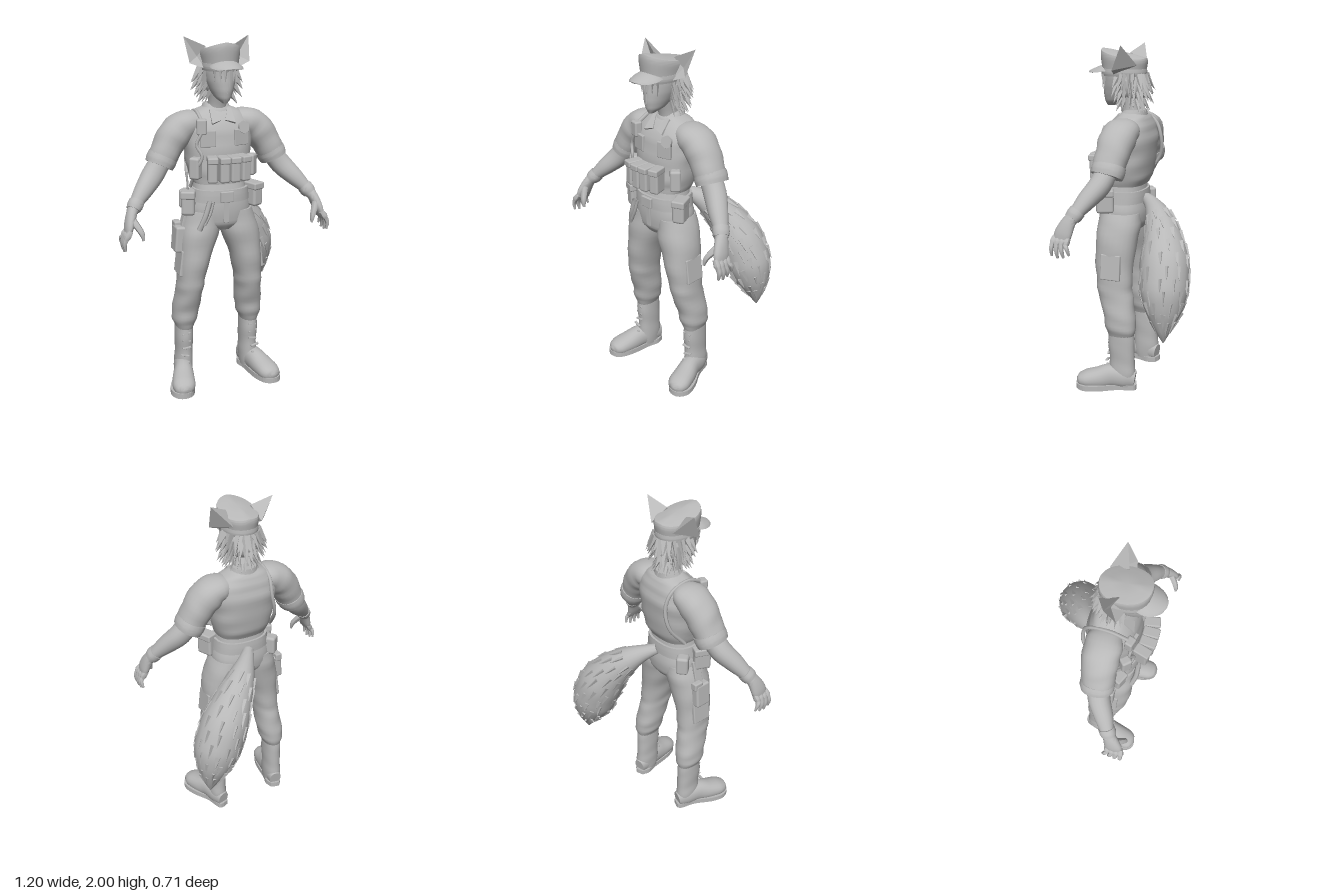
import * as THREE from 'three';
import { mergeGeometries, toCreasedNormals } from 'three/addons/utils/BufferGeometryUtils.js';
import { RoundedBoxGeometry } from 'three/addons/geometries/RoundedBoxGeometry.js';

const V3 = (x, y, z) => new THREE.Vector3(x, y, z);

// Smooth section [x, y, z, ru, rv] and its frame at t along a list of sections
function sampler(rings, ref, level) {
  const path = new THREE.CatmullRomCurve3(rings.map(r => V3(r[0], r[1], r[2])));
  const size = new THREE.CatmullRomCurve3(rings.map(r => V3(r[3], r[4], 0)));
  return t => {
    const c = path.getPoint(t), s = size.getPoint(t), T = path.getTangent(t);
    if (level) T.set(0, Math.sign(T.y), 0);
    const v = ref.clone().addScaledVector(T, -ref.dot(T)).normalize();
    return { c, T, v, u: v.clone().cross(T), a: s.x, b: s.y };
  };
}

// Closed skin through the sections; fold adds cloth wrinkles, p squares the section
function loft(rings, { n = 20, ref = V3(0, 0, 1), level = false, p = 2.2, fold = 0, sub = 4, bend } = {}) {
  const at = sampler(rings, ref, level), rows = (rings.length - 1) * sub;
  const pos = [], idx = [];
  const sq = w => Math.sign(w) * Math.pow(Math.abs(w), 2 / p);
  const put = q => { if (bend) bend(q); q.y = Math.max(q.y, 0); pos.push(q.x, q.y, q.z); };
  for (let i = 0; i <= rows; i++) {
    const { c, u, v, a, b } = at(i / rows);
    for (let j = 0; j < n; j++) {
      const w = j / n * Math.PI * 2;
      const k = 1 + fold * Math.sin(i * 1.35 + 2 * Math.sin(w)) * (0.6 + 0.4 * Math.sin(3 * w + i * 0.4));
      put(c.clone().addScaledVector(u, sq(Math.cos(w)) * a * k).addScaledVector(v, sq(Math.sin(w)) * b * k));
      if (i < rows) {
        const A = i * n + j, B = i * n + (j + 1) % n;
        idx.push(A, B, B + n, A, B + n, A + n);
      }
    }
  }
  put(at(0).c); put(at(1).c);
  const c0 = (rows + 1) * n, c1 = c0 + 1, e = rows * n;
  for (let j = 0; j < n; j++) {
    const k = (j + 1) % n;
    idx.push(c0, k, j, c1, e + j, e + k);
  }
  const g = new THREE.BufferGeometry();
  g.setAttribute('position', new THREE.Float32BufferAttribute(pos, 3));
  g.setIndex(idx);
  return toCreasedNormals(g, 0.8);
}

// Flattened pointed lock standing on a surface
function spike(base, dir, len, r, flat = 1) {
  const g = new THREE.ConeGeometry(r, len, 4).toNonIndexed();
  g.computeVertexNormals();
  g.translate(0, len / 2, 0).scale(1, 1, flat);
  g.applyQuaternion(new THREE.Quaternion().setFromUnitVectors(V3(0, 1, 0), dir.clone().normalize()));
  return g.translate(base.x, base.y, base.z);
}

export function createModel() {
  const model = new THREE.Group();
  const grey = new THREE.MeshStandardMaterial({ color: 0xb8b8b8, side: THREE.DoubleSide });
  grey.name = 'plain grey';
  let seed = 7;
  const rnd = () => (seed = (seed * 16807) % 2147483647) / 2147483647;
  const add = (name, g) => {
    const m = new THREE.Mesh(g, grey);
    m.name = name; model.add(m);
    return m;
  };
  const box = (name, x, y, z, w, h, d, ry = 0, rz = 0) => {
    const m = add(name, new RoundedBoxGeometry(w, h, d, 2, Math.min(w, h, d) * 0.22));
    m.position.set(x, y, z); m.rotation.set(0, ry, rz);
  };
  const tube = (name, pts, r) =>
    add(name, new THREE.TubeGeometry(new THREE.CatmullRomCurve3(pts.map(p => V3(...p))), 20, r, 6));
  const L = { level: true };

  // Shirt and hips
  add('shirt', loft([[0, 1.215, .125, .15, .118], [0, 1.28, .115, .172, .135], [0, 1.38, .105, .185, .138],
    [0, 1.48, .095, .195, .136], [0, 1.55, .09, .185, .115], [0, 1.6, .08, .13, .085], [0, 1.625, .08, .07, .06]],
    { ...L, n: 32, p: 2.5, fold: .02 }));
  add('hips', loft([[0, 1.23, .13, .14, .108], [0, 1.15, .135, .155, .122], [0, 1.06, .13, .178, .132],
    [0, .99, .13, .165, .125], [0, .95, .13, .08, .1]], { ...L, n: 28, p: 2.4 }));
  add('belt', loft([[0, 1.185, .135, .162, .13], [0, 1.15, .135, .166, .133], [0, 1.115, .135, .17, .133]],
    { ...L, n: 28, p: 2.4 }));
  box('beltBuckle', 0, 1.15, .27, .075, .06, .02);
  box('fly', 0, 1.06, .258, .03, .12, .012);

  // Neck, collar and head
  add('neck', loft([[0, 1.57, .085, .06, .06], [0, 1.64, .1, .05, .055], [0, 1.72, .12, .055, .06]], L));
  add('collar', loft([[0, 1.585, .085, .09, .085], [0, 1.615, .08, .08, .075], [0, 1.64, .07, .068, .062]], L));
  add('head', loft([[0, 1.657, .222, .012, .02], [0, 1.685, .19, .042, .065], [0, 1.725, .165, .062, .096],
    [0, 1.775, .147, .08, .112], [0, 1.83, .14, .088, .115], [0, 1.9, .14, .085, .115]], { ...L, p: 2, n: 24 }));
  add('nose', spike(V3(0, 1.765, .245), V3(0, -1, .33), .06, .016));

  // Cap with sloping crown and drooping visor
  add('capCrown', loft([[0, 1.83, .138, .094, .124], [0, 1.87, .138, .097, .128], [0, 1.925, .138, .103, .134],
    [0, 1.947, .138, .1, .13], [0, 1.952, .138, .055, .07]], { ...L, n: 28,
    bend: q => { q.y += (q.y - 1.83) / .12 * ((q.z - .14) * .2 - Math.abs(q.x) * .16 + .004); } }));
  add('capBand', loft([[0, 1.826, .138, .096, .126], [0, 1.845, .138, .1, .131], [0, 1.866, .138, .098, .129]], { ...L, n: 28 }));
  add('capVisor', loft([[0, 1.882, .2, .08, .008], [0, 1.878, .255, .088, .008], [0, 1.862, .305, .072, .007],
    [0, 1.85, .335, .045, .006], [0, 1.846, .348, .012, .004]], { ref: V3(0, 1, 0), bend: q => { q.y -= 4 * q.x * q.x; } }));

  // Hair: rounded mass with pointed locks
  const hair = new THREE.SphereGeometry(1, 20, 14);
  hair.scale(.098, .1, .095).translate(0, 1.775, .092);
  add('hairMass', hair);
  const locks = [];
  for (let row = 0; row < 4; row++) for (let i = 0; i < 17; i++) {
    const a = (i / 16 - .5) * 4.1 + (rnd() - .5) * .15, sx = Math.sin(a), sz = -Math.cos(a);
    const r = [.088, .088, .078, .056][row];
    locks.push(spike(V3(sx * r, 1.835 - row * .038, .1 + sz * r), V3(sx * .55, -.8, sz * .45), .08 + rnd() * .03, .024, .6));
  }
  for (const x of [-.06, -.035, -.012, .014, .038, .06])
    locks.push(spike(V3(x, 1.84, .262 - x * x * 9), V3(-x * .4, -1, .05), .07 + rnd() * .035, .016, .5));
  add('hairLocks', mergeGeometries(locks));

  for (const s of [1, -1]) {
    const side = s > 0 ? 'left' : 'right';
    const R = rows => rows.map(([x, ...r]) => [x * s, ...r]);

    // Hollow pointed ear
    const rim = [[.185, 2, .085], [.075, 1.95, .13], [.09, 1.835, .165], [.17, 1.865, .145]];
    const ear = [];
    rim.forEach((p, i) => {
      const q = rim[(i + 1) % 4], [a, b] = s > 0 ? [p, q] : [q, p];
      ear.push([.115, 1.895, .1], a, b, [.085, 1.89, .03], b, a);
    });
    const eg = new THREE.BufferGeometry();
    eg.setAttribute('position', new THREE.Float32BufferAttribute(ear.flatMap(p => [p[0] * s, p[1], p[2]]), 3));
    eg.computeVertexNormals();
    add(side + 'Ear', eg);

    // Collar point
    const lapel = new THREE.Shape([[.0, 0], [.055, -.02], [.05, .075], [.03, .08]].map(p => new THREE.Vector2(p[0] * s, p[1])));
    const lm = add(side + 'CollarPoint', new THREE.ExtrudeGeometry(lapel, { depth: .012, bevelEnabled: false }));
    lm.position.set(.012 * s, 1.555, .195); lm.rotation.x = -.75;

    // Arm
    add(side + 'Sleeve', loft(R([[.1, 1.54, .085, .055, .08], [.17, 1.535, .088, .075, .1], [.235, 1.49, .092, .088, .1],
      [.285, 1.42, .1, .083, .093], [.33, 1.335, .108, .074, .088]]), { fold: .035, n: 24 }));
    add(side + 'SleeveCuff', loft(R([[.312, 1.37, .104, .08, .092], [.325, 1.345, .106, .082, .094], [.338, 1.318, .11, .077, .09]])));
    add(side + 'Forearm', loft(R([[.31, 1.37, .108, .055, .06], [.375, 1.28, .13, .06, .06], [.445, 1.205, .18, .05, .052],
      [.495, 1.15, .215, .036, .04], [.525, 1.11, .24, .03, .036]])));
    add(side + 'GloveCuff', loft(R([[.492, 1.155, .212, .041, .045], [.505, 1.137, .224, .042, .046], [.518, 1.118, .235, .036, .042]])));
    add(side + 'Palm', loft(R([[.52, 1.125, .235, .028, .034], [.537, 1.085, .255, .027, .043], [.552, 1.04, .272, .024, .05],
      [.562, 1.005, .282, .017, .046]])));
    for (let f = 0; f < 4; f++) {
      const z = .318 - f * .026, d = [.01, 0, .004, .02][f];
      add(side + 'Finger', loft(R([[.553, 1.025, z, .014, .014], [.58, .985, z + .006, .014, .014],
        [.59, .95 + d, z + .008 - f * .004, .012, .012], [.586, .912 + d, z + .008 - f * .008, .006, .007]]), { n: 8, sub: 3 }));
    }
    add(side + 'Thumb', loft(R([[.54, 1.085, .272, .02, .02], [.515, 1.045, .305, .018, .018], [.496, 1.01, .325, .015, .015],
      [.488, .972, .332, .007, .007]]), { n: 8, sub: 3 }));

    // Leg and boot
    add(side + 'TrouserLeg', loft(R([[.09, 1.06, .13, .09, .122], [.115, .95, .137, .11, .125], [.15, .8, .146, .092, .115],
      [.172, .66, .142, .078, .106], [.18, .58, .132, .074, .104], [.192, .47, .105, .076, .095],
      [.2, .39, .095, .071, .092], [.202, .335, .09, .05, .076]]), { ...L, n: 24, fold: .035 }));
    box(side + 'ThighPocket', .232 * s, .76, .14, .03, .15, .12, 0, .12 * s);
    add(side + 'BootShaft', loft(R([[.203, .37, .09, .05, .074], [.203, .28, .09, .052, .08], [.203, .18, .085, .049, .076],
      [.205, .1, .085, .052, .08], [.205, .02, .085, .045, .07]]), { ...L, fold: .02 }));
    add(side + 'BootFoot', loft(R([[.195, .06, .008, .036, .05], [.208, .07, .07, .052, .068], [.225, .075, .15, .055, .07],
      [.246, .06, .22, .064, .062], [.264, .05, .29, .066, .05], [.274, .043, .33, .048, .036], [.277, .04, .347, .015, .015]]),
      { ref: V3(0, 1, 0) }));
    const outline = [[.165, .01], [.225, .0], [.258, .1], [.315, .2], [.338, .28], [.315, .335], [.27, .352], [.22, .33],
      [.186, .25], [.168, .12], [.152, .06]].map(p => new THREE.Vector2(p[0] * s, p[1]));
    const sole = new THREE.Shape(new THREE.SplineCurve([...outline, outline[0]]).getPoints(40));
    const sg = new THREE.ExtrudeGeometry(sole, { depth: .032, bevelEnabled: false });
    add(side + 'Sole', sg.rotateX(Math.PI / 2).translate(0, .032, 0));
    for (let i = 0; i < 5; i++) box(side + 'BootLace', (.206 + (i < 2 ? .014 : 0)) * s, .13 + i * .045, .178 - Math.min(i, 3) * .006, .05, .01, .015, .15 * s, .2 * (i % 2 ? s : -s));

    // Chest pouches and pocket
    for (const [x, z, ry] of [[.029, .288, .05], [.088, .275, .25]]) {
      box(side + 'MagazinePouch', x * s, 1.31, z, .054, .135, .085, ry * s);
      box(side + 'PouchFlap', x * s, 1.365, z + .004, .058, .035, .092, ry * s);
    }
    box(side + 'SidePouch', .152 * s, 1.31, .2, .06, .12, .08, .8 * s);
    box(side + 'ChestPocket', .095 * s, 1.47, .224, .085, .09, .02, .22 * s);
  }

  // Belt kit, holster and radio
  box('leftBeltPouch', .182, 1.135, .19, .07, .13, .1, .4);
  box('leftBeltPouchFlap', .184, 1.185, .193, .076, .04, .106, .4);
  box('rightBeltPouch', -.19, 1.11, .17, .075, .13, .1, -.4);
  box('rightBeltPouchFlap', -.191, 1.16, .172, .08, .045, .106, -.4);
  box('rearBeltPouch', -.165, 1.1, .05, .07, .11, .07, .7);
  box('holster', -.238, .895, .13, .06, .15, .1, 0, -.08);
  box('holsterGrip', -.24, .965, .1, .04, .05, .06);
  box('holsterStrap', -.205, 1.02, .13, .018, .16, .05, 0, -.25);
  tube('batonHandle', [[-.1, 1.13, .27], [-.125, 1.05, .27], [-.155, .97, .255]], .015);
  tube('hangingStrap', [[-.08, 1.13, .27], [-.1, 1.06, .272], [-.13, 1.0, .268]], .009);
  tube('antenna', [[-.19, 1.17, .16], [-.195, 1.23, .165], [-.2, 1.28, .165]], .006);
  box('radioMicrophone', -.128, 1.535, .215, .055, .085, .045, -.25);
  tube('radioCable', [[-.135, 1.5, .23], [-.16, 1.44, .225], [-.135, 1.38, .245], [-.165, 1.3, .225], [-.18, 1.2, .17]], .009);
  tube('shoulderCord', [[-.125, 1.57, .2], [-.125, 1.605, .11], [-.12, 1.57, .0], [-.115, 1.48, -.04], [-.14, 1.36, -.03], [-.165, 1.24, .06]], .011);
  const badge = add('badge', new THREE.CylinderGeometry(.036, .036, .014, 6));
  badge.position.set(.11, 1.52, .222); badge.rotation.set(Math.PI / 2 - .2, 0, -.2);

  // Bushy tail with layered tufts
  const tail = [[.01, 1.135, .005, .03, .03], [.06, 1.105, -.055, .048, .048], [.125, 1.05, -.115, .078, .078],
    [.21, .95, -.17, .112, .112], [.285, .83, -.205, .137, .137], [.335, .71, -.22, .138, .134],
    [.372, .59, -.23, .1, .098], [.392, .5, -.236, .05, .048], [.402, .428, -.24, .004, .004]];
  add('tail', loft(tail, { n: 20, p: 2 }));
  const at = sampler(tail, V3(0, 0, 1), false), tufts = [];
  for (let i = 0; i < 11; i++) for (let j = 0; j < 9; j++) {
    const { c, T, u, v, a, b } = at(.24 + i * .056);
    const w = (j + (i % 2) / 2 + (rnd() - .5) * .4) / 9 * Math.PI * 2;
    const out = u.clone().multiplyScalar(Math.cos(w)).addScaledVector(v, Math.sin(w));
    const next = at(Math.min(1, .3 + i * .056));
    const slope = (next.a - a) / c.distanceTo(next.c);
    tufts.push(spike(c.clone().addScaledVector(out, (a + b) / 2 - .01), T.clone().addScaledVector(out, slope + .16), .075 + rnd() * .02, .022, .7));
  }
  add('tailTufts', mergeGeometries(tufts));
  return model;
}
